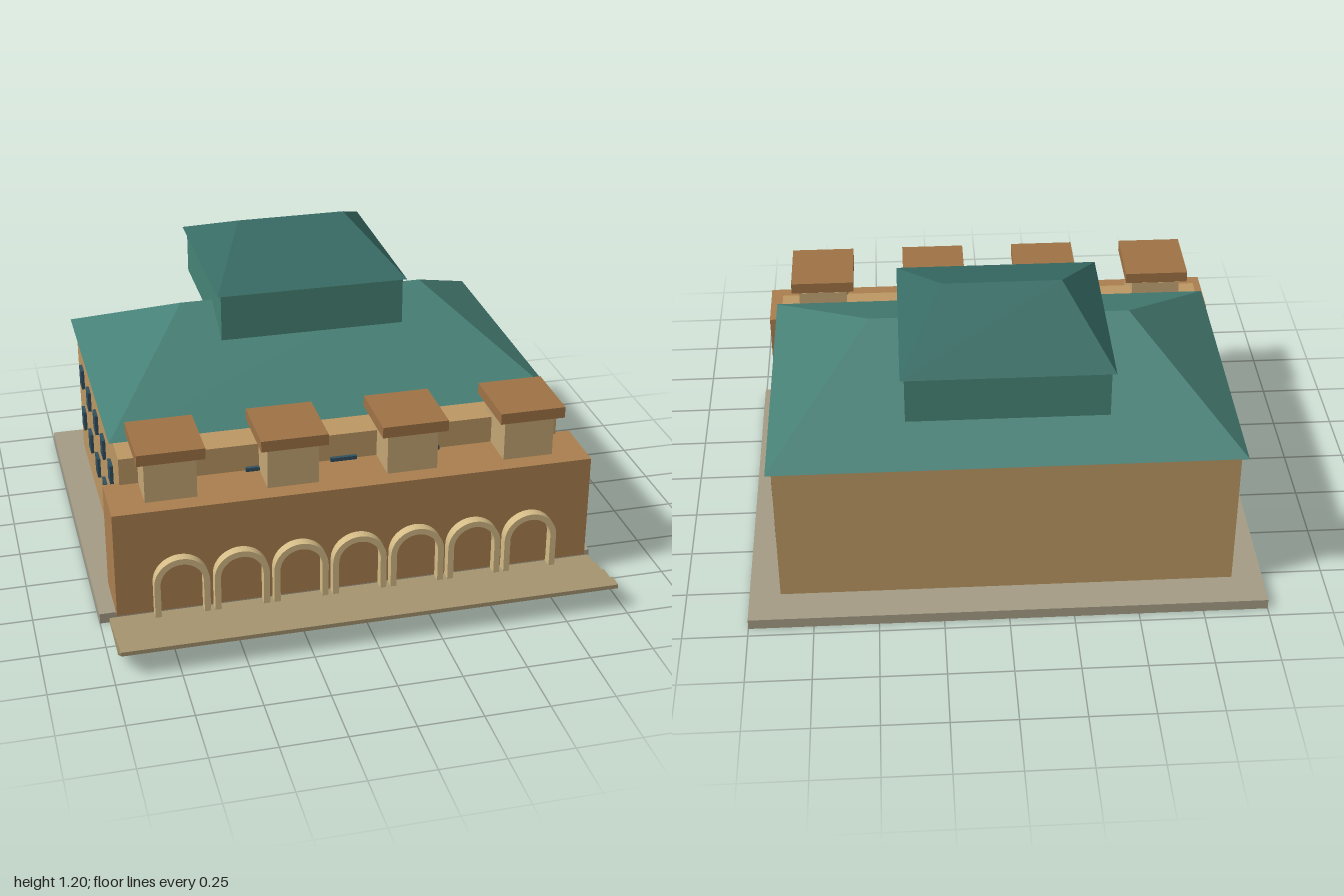
import * as THREE from 'three';

const COLORS = {
  stone: 0xa59c85, steps: 0xa5946f, wall: 0xbc9863, porch: 0xaa7f4f, pier: 0xc4a675,
  cap: 0x9f7346, arch: 0xd4bb86, window: 0x31505f, roof: 0x467f75, lantern: 0x478375, upperRoof: 0x376b64,
};
const materials = {};
for (const key in COLORS) {
  materials[key] = new THREE.MeshStandardMaterial({ color: COLORS[key], flatShading: true });
}

function add(parent, name, geometry, material) {
  const mesh = new THREE.Mesh(geometry, materials[material]);
  mesh.name = name;
  parent.add(mesh);
  return mesh;
}

// Box given by its extents along each axis
function box(parent, name, material, [x0, x1], [y0, y1], [z0, z1]) {
  const mesh = add(parent, name, new THREE.BoxGeometry(x1 - x0, y1 - y0, z1 - z0), material);
  mesh.position.set((x0 + x1) / 2, (y0 + y1) / 2, (z0 + z1) / 2);
  return mesh;
}

// Closed hip roof: rectangular eaves rising to a ridge along x
function hipRoof(halfWidth, z0, z1, y0, y1, halfRidge) {
  const zr = (z0 + z1) / 2;
  const corners = [
    -halfWidth, y0, z1, halfWidth, y0, z1, halfWidth, y0, z0, -halfWidth, y0, z0,
    -halfRidge, y1, zr, halfRidge, y1, zr,
  ];
  const geometry = new THREE.BufferGeometry();
  geometry.setAttribute('position', new THREE.Float32BufferAttribute(corners, 3));
  geometry.setIndex([0, 1, 5, 0, 5, 4, 1, 2, 5, 2, 3, 4, 2, 4, 5, 3, 0, 4, 0, 3, 2, 0, 2, 1]);
  const flat = geometry.toNonIndexed();
  flat.computeVertexNormals();
  return flat;
}

// Arch surround: two legs joined by a half ring
function archGeometry(outer, inner, bottom, spring, depth) {
  const shape = new THREE.Shape();
  shape.moveTo(outer, bottom);
  shape.lineTo(outer, spring);
  shape.absarc(0, spring, outer, 0, Math.PI, false);
  shape.lineTo(-outer, bottom);
  shape.lineTo(-inner, bottom);
  shape.lineTo(-inner, spring);
  shape.absarc(0, spring, inner, Math.PI, 0, true);
  shape.lineTo(inner, bottom);
  return new THREE.ExtrudeGeometry(shape, { depth, bevelEnabled: false, curveSegments: 14 });
}

export function createModel() {
  const model = new THREE.Group();
  model.name = 'building';

  // Plinth, main hall and front porch
  box(model, 'plinth', 'stone', [-1, 1], [0, 0.042], [-0.96, 0.585]);
  box(model, 'mainHall', 'wall', [-0.88, 0.88], [0.042, 0.625], [-0.815, 0.44]);
  box(model, 'porch', 'porch', [-0.943, 0.943], [0.08, 0.515], [0.425, 0.67]);

  // Overlapping front steps
  const steps = new THREE.Group();
  steps.name = 'steps';
  model.add(steps);
  for (let i = 0; i < 4; i++) {
    const y = 0.042 + i * 0.0168;
    box(steps, 'step', 'steps', [-0.97, 0.97], [y, y + 0.0168], [0.645 + i * 0.085, 0.872 + i * 0.029]);
  }

  // Row of seven arches on the porch front
  const arches = new THREE.Group();
  arches.name = 'arches';
  model.add(arches);
  const arch = archGeometry(0.107, 0.083, 0.075, 0.212, 0.045);
  for (let i = -3; i <= 3; i++) {
    add(arches, 'arch', arch, 'arch').position.set(i * 0.2315, 0, 0.665);
  }

  // Four piers with floating cap slabs
  for (const x of [-0.707, -0.236, 0.236, 0.707]) {
    const pier = new THREE.Group();
    pier.name = 'pier';
    pier.position.x = x;
    model.add(pier);
    box(pier, 'pierShaft', 'pier', [-0.1, 0.1], [0.513, 0.677], [0.37, 0.597]);
    box(pier, 'pierCap', 'cap', [-0.13, 0.13], [0.69, 0.735], [0.35, 0.632]);
  }

  // Side windows in two rows, mirrored left and right
  const windows = new THREE.Group();
  windows.name = 'windows';
  model.add(windows);
  for (const side of [-1, 1]) {
    for (const y of [0.26, 0.46]) {
      for (let i = 0; i < 5; i++) {
        const z = 0.23 - i * 0.219;
        const x = side * 0.88;
        box(windows, 'sideWindow', 'window', [x - 0.013, x + 0.013], [y - 0.043, y + 0.043], [z - 0.034, z + 0.034]);
      }
    }
  }
  // Front windows rising just above the porch roof
  for (let i = -2; i <= 2; i++) {
    const x = i * 0.337;
    box(windows, 'frontWindow', 'window', [x - 0.053, x + 0.053], [0.4, 0.53], [0.43, 0.455]);
  }

  // Main roof, with the raised lantern and its own roof
  add(model, 'mainRoof', hipRoof(0.9, -0.853, 0.341, 0.645, 0.938, 0.507), 'roof');
  box(model, 'lantern', 'lantern', [-0.377, 0.377], [0.843, 1.035], [-0.815, -0.058]);
  add(model, 'lanternRoof', hipRoof(0.392, -0.838, -0.046, 1.037, 1.2, 0.224), 'upperRoof');

  return model;
}
